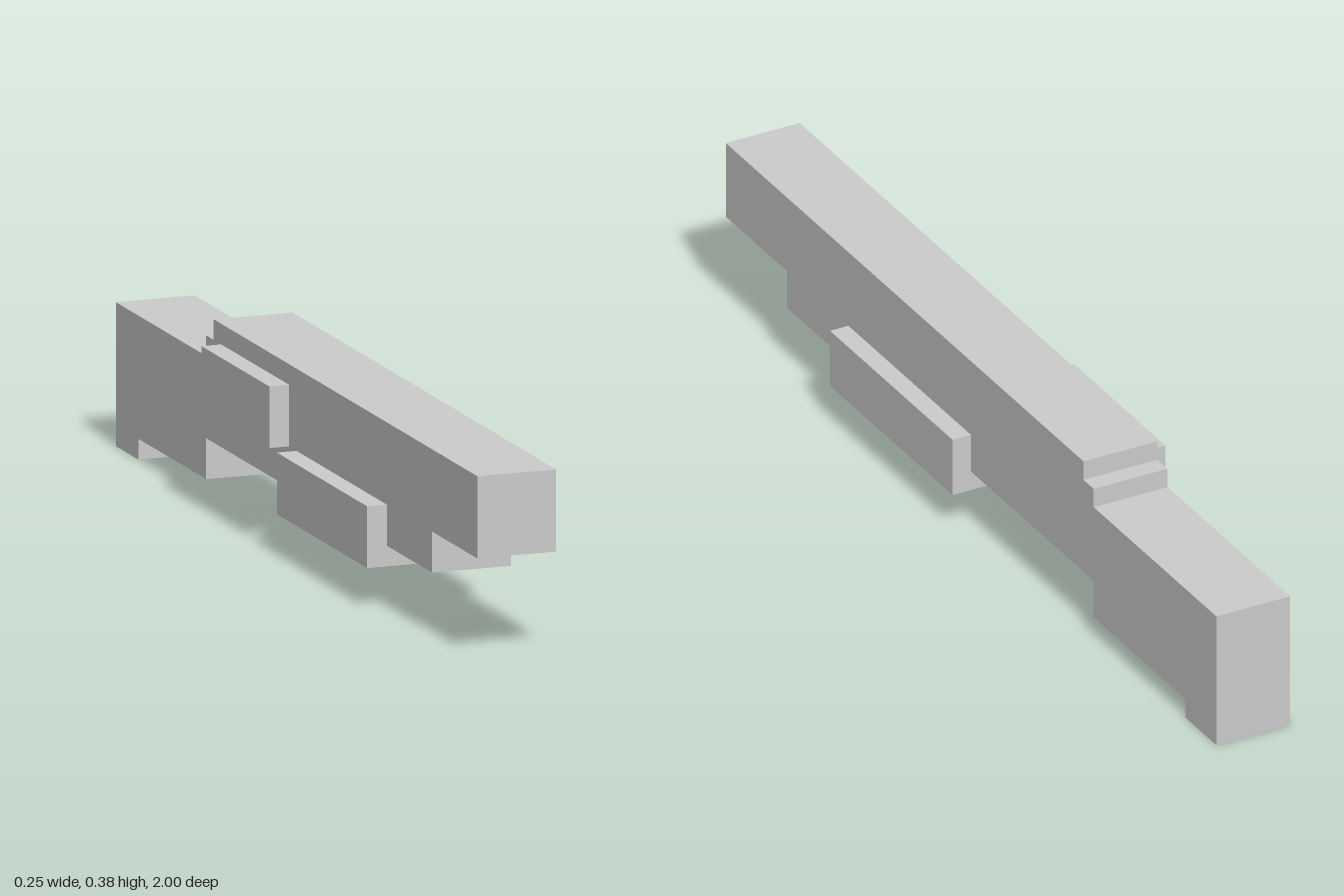
import * as THREE from 'three';

const material = new THREE.MeshStandardMaterial({ color: 0xcccccc, flatShading: true });

// Box given by its [min, max] extent on each axis
function box(name, [x0, x1], [y0, y1], [z0, z1]) {
  const mesh = new THREE.Mesh(new THREE.BoxGeometry(x1 - x0, y1 - y0, z1 - z0), material);
  mesh.position.set((x0 + x1) / 2, (y0 + y1) / 2, (z0 + z1) / 2);
  mesh.name = name;
  return mesh;
}

export function createModel() {
  const group = new THREE.Group();
  group.name = 'steppedBlockModel';
  const halfWidth = 0.0833;

  // Long body: stepped side profile as (z, y) points, extruded across x
  const profile = [
    [-1, 0], [-0.875, 0], [-0.875, 0.042], [-0.5, 0.042], [-0.5, 0.125],
    [0.75, 0.125], [0.75, 0.2083], [1, 0.2083], [1, 0.375],
    [-0.4583, 0.375], [-0.4583, 0.3333], [-0.5, 0.3333], [-0.5, 0.2917], [-1, 0.2917],
  ].map(([z, y]) => new THREE.Vector2(z, y));
  const bodyGeometry = new THREE.ExtrudeGeometry(new THREE.Shape(profile), {
    depth: 2 * halfWidth, bevelEnabled: false,
  });
  bodyGeometry.translate(0, 0, -halfWidth).rotateY(-Math.PI / 2);
  const body = new THREE.Mesh(bodyGeometry, material);
  body.name = 'body';
  group.add(body);

  // Wide grip wrapped around the underside
  group.add(box('foreGrip', [-0.125, 0.125], [0.0833, 0.2083], [0, 0.5]));

  // Plate on the right side only
  group.add(box('sidePlate', [-0.125, -halfWidth], [0.2083, 0.3333], [-0.4167, -0.0417]));

  return group;
}
